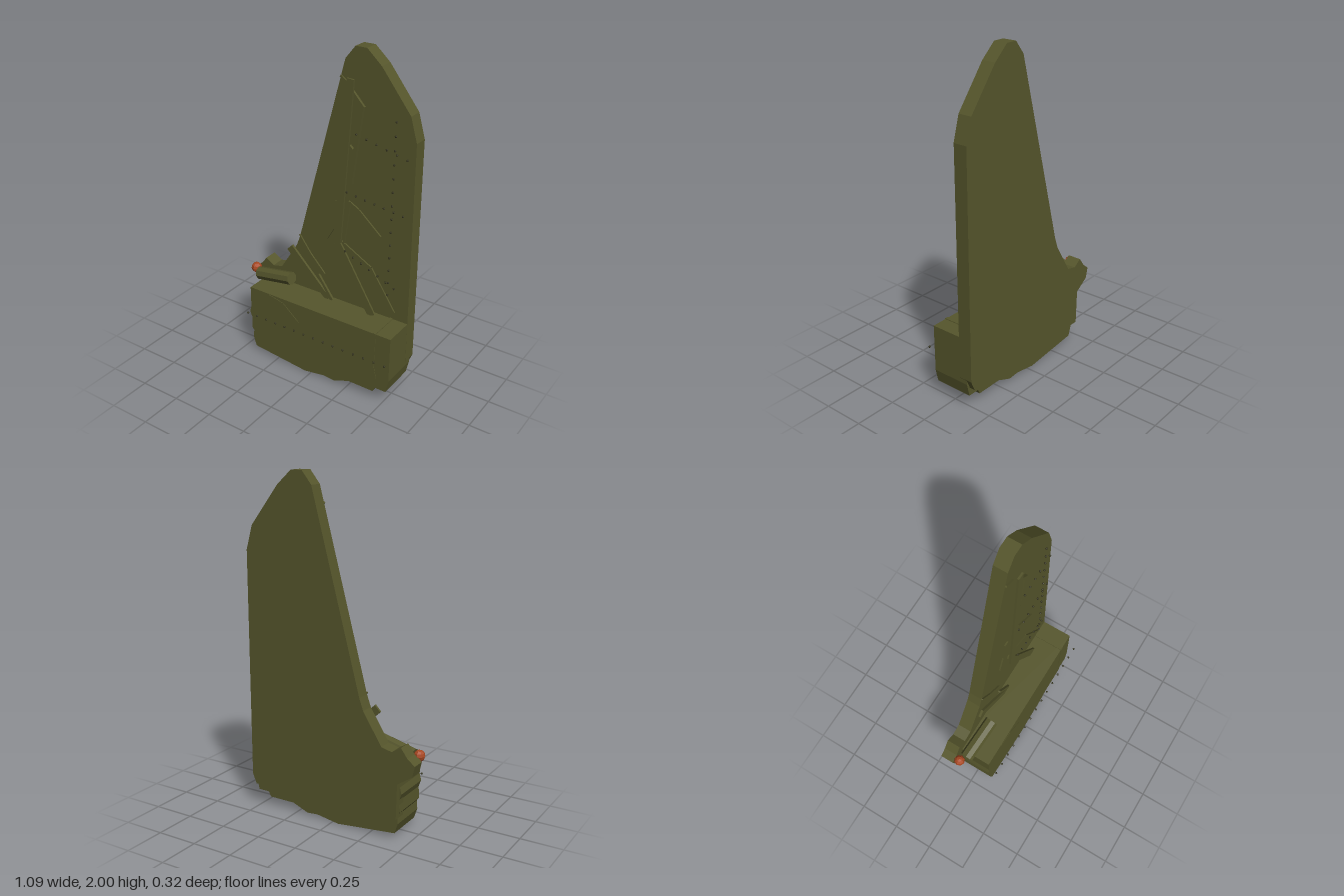
import * as THREE from 'three';

export function createModel() {
  const model = new THREE.Group();
  const olive = new THREE.MeshStandardMaterial({ name: 'olive paint', color: 0x56562c, flatShading: true });
  const dark = new THREE.MeshStandardMaterial({ name: 'dark rivet', color: 0x35341e, flatShading: true });
  const red = new THREE.MeshStandardMaterial({ name: 'rusty red lamp', color: 0xa84822, flatShading: true });

  function add(name, geometry, material, parent = model) {
    const mesh = new THREE.Mesh(geometry, material);
    mesh.name = name;
    parent.add(mesh);
    return mesh;
  }

  // Outline in x, y extruded between two depths
  function slab(name, points, z0, z1, parent) {
    const shape = new THREE.Shape(points.map(([x, y]) => new THREE.Vector2(x, y)));
    const geometry = new THREE.ExtrudeGeometry(shape, { depth: z1 - z0, bevelEnabled: false });
    return add(name, geometry.translate(0, 0, z0), olive, parent);
  }

  // Straight strip between two points, with a width at each end
  function strip(name, [ax, ay], [bx, by], wa, wb, z0, z1, parent) {
    const length = Math.hypot(bx - ax, by - ay);
    const nx = -(by - ay) / length / 2, ny = (bx - ax) / length / 2;
    return slab(name, [
      [ax + nx * wa, ay + ny * wa], [ax - nx * wa, ay - ny * wa],
      [bx - nx * wb, by - ny * wb], [bx + nx * wb, by + ny * wb],
    ], z0, z1, parent);
  }

  // Tall fin with a torn leading root
  slab('fin', [
    [0.16, 2], [0.23, 2], [0.32, 1.92], [0.5, 1.69], [0.54, 1.55], [0.54, 0.2], [0.515, 0.14],
    [-0.435, 0.14], [-0.44, 0.35], [-0.53, 0.41], [-0.545, 0.475], [-0.5, 0.51], [-0.46, 0.565],
    [-0.405, 0.53], [-0.34, 0.545], [-0.225, 0.73], [-0.2, 0.8], [0.1, 1.925],
  ], -0.16, -0.077);

  // Thick base with a ragged lower edge
  slab('base', [
    [-0.44, 0.455], [0.54, 0.455], [0.538, 0.17], [0.52, 0.09], [0.45, 0.09], [0.435, 0.06],
    [0.27, 0.06], [0.17, 0.02], [0.1, 0.026], [-0.04, 0.003], [-0.41, 0.04], [-0.43, 0.1],
    [-0.425, 0.15], [-0.44, 0.17], [-0.435, 0.24], [-0.45, 0.28], [-0.44, 0.32],
  ], -0.126, 0.11);

  // Bent spar and braces standing just off the fin face
  const frame = new THREE.Group();
  frame.name = 'frame';
  model.add(frame);
  const zb = -0.047, zf = -0.036;
  strip('upperSpar', [0.157, 1.835], [0.083, 0.845], 0.045, 0.05, zb, zf, frame);
  strip('lowerSpar', [0.085, 0.855], [0.325, 0.455], 0.05, 0.05, zb, zf, frame);
  strip('upperBrace', [0.225, 1.7], [0.16, 1.24], 0.022, 0.025, -0.06, -0.045, frame);
  strip('braceTop', [0.165, 1.765], [0.235, 1.69], 0.014, 0.014, -0.06, -0.045, frame);
  strip('braceMiddle', [0.15, 1.46], [0.185, 1.43], 0.014, 0.01, -0.06, -0.045, frame);
  strip('rootBrace', [-0.255, 0.72], [0.02, 0.455], 0.05, 0.035, -0.057, -0.043, frame);
  strip('shortBrace', [-0.05, 0.6], [0.045, 0.455], 0.01, 0.025, -0.057, -0.043, frame);

  // Tapering creases on the fin
  const creases = [
    [[0.09, 0.845], [0.29, 0.74], 0.03, 0.02], [[0.29, 0.74], [0.45, 0.5], 0.02, 0.018],
    [[0.14, 1.12], [0.2, 1.08], 0.006, 0.02], [[0.2, 1.08], [0.35, 0.96], 0.02, 0.003],
    [[0.07, 1.1], [0.045, 0.95], 0.035, 0.025], [[0.045, 0.95], [-0.005, 0.84], 0.025, 0.004],
    [[-0.2, 0.81], [-0.13, 0.7], 0.006, 0.025], [[-0.13, 0.7], [-0.02, 0.6], 0.025, 0.004],
    [[0.145, 1.12], [0.11, 0.85], 0.015, 0.01],
    [[0.075, 1.83], [0.14, 1.785], 0.012, 0.01],
  ];
  for (const [a, b, wa, wb] of creases) strip('finCrease', a, b, wa, wb, -0.078, -0.068, frame);

  // Strap folded over the base, and a crease beside it
  add('strapTop', new THREE.BoxGeometry(0.02, 0.006, 0.188), olive).position.set(0.436, 0.456, 0.016);
  strip('strapFront', [0.436, 0.458], [0.43, 0.23], 0.02, 0.02, 0.105, 0.113);
  strip('strapTip', [0.43, 0.235], [0.455, 0.16], 0.02, 0.003, 0.105, 0.113);
  strip('baseCrease', [-0.3, 0.45], [-0.2, 0.42], 0.004, 0.02, 0.105, 0.113);
  strip('baseCrease', [-0.2, 0.42], [-0.085, 0.335], 0.02, 0.003, 0.105, 0.113);

  // Tilted pipe lying over the root
  const start = new THREE.Vector3(-0.472, 0.48, -0.026), end = new THREE.Vector3(-0.215, 0.535, -0.006);
  const axis = end.clone().sub(start);
  const pipe = add('pipe', new THREE.CylinderGeometry(0.04, 0.04, axis.length(), 8), olive);
  pipe.position.copy(start).add(end).multiplyScalar(0.5);
  pipe.quaternion.setFromUnitVectors(new THREE.Vector3(0, 1, 0), axis.normalize());

  // Red lamp at the torn tip
  add('lamp', new THREE.SphereGeometry(0.033, 8, 6), red).position.set(-0.515, 0.495, -0.048);

  // Rivet rows: start, end and count
  const rivets = new THREE.Group();
  rivets.name = 'rivets';
  model.add(rivets);
  const rivet = new THREE.SphereGeometry(0.007, 6, 4);
  const rows = [
    [[0.432, 1.655, -0.05], [0.418, 0.62, -0.05], 14],
    [[0.2, 1.54, -0.037], [0.5, 1.455, -0.06], 6],
    [[0.145, 1.19, -0.037], [0.49, 1.13, -0.058], 7],
    [[0.14, 0.82, -0.036], [0.455, 0.67, -0.055], 7],
    [[-0.43, 0.3, 0.155], [0.533, 0.3, 0.155], 15],
  ];
  for (const [from, to, count] of rows) {
    const a = new THREE.Vector3(...from), b = new THREE.Vector3(...to);
    for (let i = 0; i < count; i++) {
      add('rivet', rivet, dark, rivets).position.lerpVectors(a, b, i / (count - 1));
    }
  }
  return model;
}
